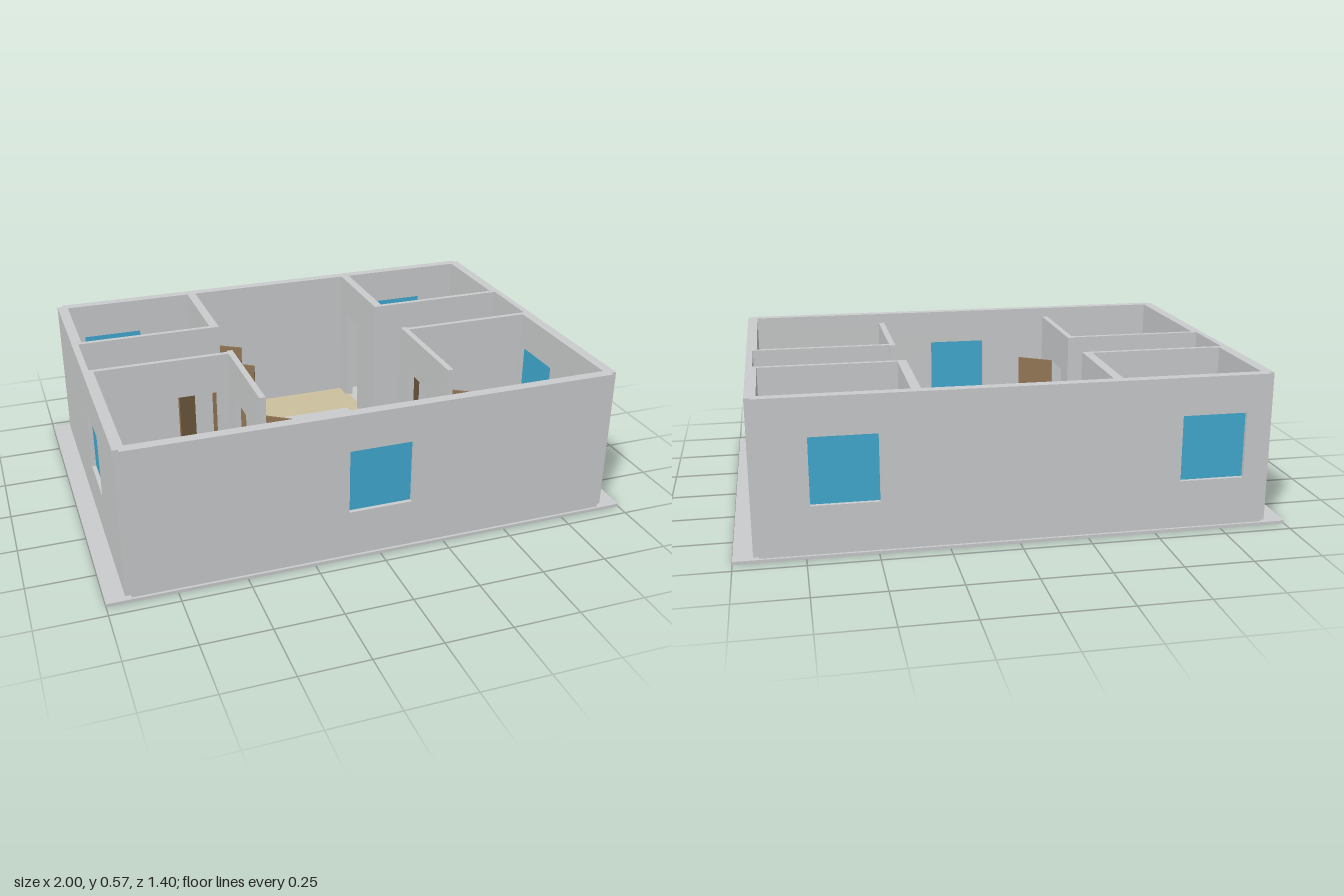
import * as THREE from 'three';

const mat = (name, color) => {
  const m = new THREE.MeshStandardMaterial({ color });
  m.name = name;
  return m;
};

export function createModel() {
  const house = new THREE.Group();
  house.name = 'house';
  const plaster = mat('plaster grey', 0xc8cacb);
  const tan = mat('tan floor', 0xcabf9c);
  const glass = mat('window blue', 0x41a8d0);
  const wood = mat('door brown', 0x8f7352);
  const lightWood = mat('furniture brown', 0xa98a6c);
  const slate = mat('slate', 0x6a6c77);

  const FLOOR = 0.012, TOP = 0.575, DOOR = 0.42;

  // Box given by its limits on each axis
  function box(name, material, x0, x1, y0, y1, z0, z1, parent = house) {
    const m = new THREE.Mesh(new THREE.BoxGeometry(x1 - x0, y1 - y0, z1 - z0), material);
    m.position.set((x0 + x1) / 2, (y0 + y1) / 2, (z0 + z1) / 2);
    m.name = name;
    parent.add(m);
    return m;
  }

  // Wall running along x or z, with doorways and windows given as [start, end]
  function wall(name, along, u0, u1, t0, t1, { doors = [], windows = [] } = {}) {
    const s = new THREE.Shape();
    s.moveTo(u0, FLOOR);
    for (const [a, b] of doors) {
      s.lineTo(a, FLOOR);
      s.lineTo(a, DOOR);
      s.lineTo(b, DOOR);
      s.lineTo(b, FLOOR);
    }
    s.lineTo(u1, FLOOR);
    s.lineTo(u1, TOP);
    s.lineTo(u0, TOP);
    s.closePath();
    const mid = (t0 + t1) / 2;
    for (const [a, b] of windows) {
      const h = new THREE.Path();
      h.moveTo(a, 0.19);
      h.lineTo(a, 0.435);
      h.lineTo(b, 0.435);
      h.lineTo(b, 0.19);
      h.closePath();
      s.holes.push(h);
      if (along === 'x') box('windowPane', glass, a, b, 0.19, 0.435, mid - 0.004, mid + 0.004);
      else box('windowPane', glass, mid - 0.004, mid + 0.004, 0.19, 0.435, a, b);
    }
    const g = new THREE.ExtrudeGeometry(s, { depth: t1 - t0, bevelEnabled: false });
    const m = new THREE.Mesh(g, plaster);
    if (along === 'x') m.position.z = t0;
    else {
      m.rotation.y = -Math.PI / 2;
      m.position.x = t1;
    }
    m.name = name;
    house.add(m);
  }

  // Base slab and coloured floors
  box('baseSlab', plaster, -1, 1, 0, FLOOR, -0.7, 0.7);
  box('livingFloor', tan, -0.36, 0.36, FLOOR, 0.016, -0.65, 0.455);
  box('studyFloor', tan, -0.89, -0.37, FLOOR, 0.016, -0.65, -0.26);

  // Outer walls
  wall('frontWall', 'x', -0.91, 0.91, 0.65, 0.69, { windows: [[-0.12, 0.12]] });
  wall('backWall', 'x', -0.91, 0.91, -0.69, -0.65, { windows: [[-0.83, -0.59], [0.49, 0.73]] });
  for (const s of [-1, 1]) {
    const span = (a, b) => (s > 0 ? [a, b] : [-b, -a]);
    wall('sideWallFront', 'z', 0.03, 0.675, ...span(0.89, 0.93), { windows: [[0.05, 0.29]] });
    wall('sideWallMiddle', 'z', -0.25, 0.03, ...span(0.905, 0.93));
    wall('sideWallBack', 'z', -0.675, -0.25, ...span(0.89, 0.93));
    // Inner walls
    wall('backRoomWall', 'z', -0.65, -0.24, ...span(0.34, 0.375), { doors: [[-0.58, -0.43]] });
    wall('bathBackWall', 'x', ...span(0.36, 0.905), -0.26, -0.24);
    wall('bathFrontWall', 'x', ...span(0.37, 0.905), 0.02, 0.04,
      { doors: [s > 0 ? [0.405, 0.56] : [-0.58, -0.425]] });
    wall('bedroomWall', 'z', 0.01, 0.457, ...span(0.352, 0.375), { doors: [[0.11, 0.27]] });
  }

  // Open doors: hinge point to free edge
  const doors = [
    [-0.34, -0.43, -0.22, -0.355], [-0.36, -0.25, -0.22, -0.155],
    [-0.575, 0.02, -0.487, -0.107], [0.407, 0.02, 0.495, -0.107],
    [-0.35, 0.27, -0.225, 0.355], [0.37, 0.27, 0.495, 0.355],
  ];
  for (const [x0, z0, x1, z1] of doors) {
    const door = new THREE.Mesh(
      new THREE.BoxGeometry(Math.hypot(x1 - x0, z1 - z0), DOOR - FLOOR, 0.008), wood);
    door.position.set((x0 + x1) / 2, (DOOR + FLOOR) / 2, (z0 + z1) / 2);
    door.rotation.y = -Math.atan2(z1 - z0, x1 - x0);
    door.name = 'door';
    house.add(door);
  }
  box('hingePost', wood, -0.38, -0.345, FLOOR, DOOR, -0.242, -0.234);

  // Beds
  for (const x of [-0.637, 0.637]) {
    const bed = new THREE.Group();
    bed.name = 'bed';
    bed.position.x = x;
    house.add(bed);
    box('headboard', lightWood, -0.18, 0.18, FLOOR, 0.17, 0.155, 0.175, bed);
    box('bedFrame', lightWood, -0.178, 0.178, FLOOR, 0.06, 0.175, 0.55, bed);
    box('mattress', plaster, -0.168, 0.168, 0.06, 0.1, 0.175, 0.542, bed);
    for (const p of [-0.082, 0.082])
      box('pillow', plaster, p - 0.072, p + 0.072, 0.1, 0.12, 0.178, 0.245, bed);
  }

  // Bathroom fittings
  for (const x of [-0.79, 0.61]) {
    box('toiletTank', plaster, x, x + 0.075, FLOOR, 0.13, -0.17, -0.135);
    box('toiletBowl', plaster, x, x + 0.075, FLOOR, 0.075, -0.135, -0.055);
    box('washBasin', plaster, x + 0.095, x + 0.18, FLOOR, 0.13, -0.155, -0.07);
  }

  // Sofa, coffee table and desk
  box('sofaSeat', plaster, -0.205, 0.2, FLOOR, 0.08, -0.155, 0.04);
  box('sofaBack', plaster, -0.205, 0.2, FLOOR, 0.15, -0.185, -0.155);
  box('coffeeTable', lightWood, -0.125, 0.118, FLOOR, 0.09, 0.0, 0.085);
  box('desk', slate, -0.792, -0.485, FLOOR, 0.12, -0.53, -0.402);

  return house;
}
